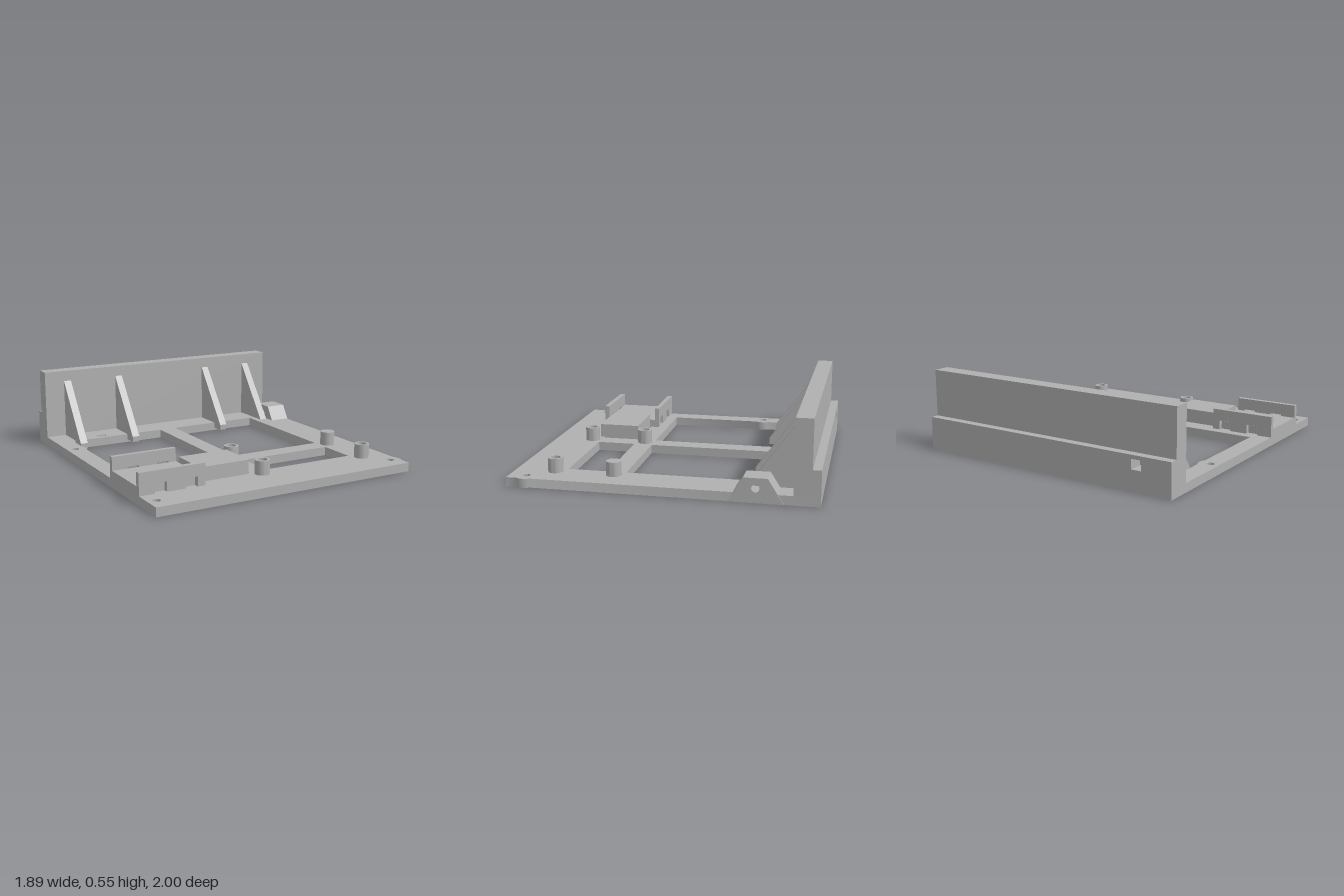
import * as THREE from 'three';
import { toCreasedNormals } from 'three/addons/utils/BufferGeometryUtils.js';

const T = 0.06; // base plate thickness
const X0 = -0.945, X1 = 0.935;

export function createModel() {
  const group = new THREE.Group();
  const grey = new THREE.MeshStandardMaterial({ color: 0xb0b0b0 });
  grey.name = 'grey plastic';

  const add = (name, geometry) => {
    const mesh = new THREE.Mesh(geometry, grey);
    mesh.name = name;
    group.add(mesh);
    return mesh;
  };
  const box = (name, x0, x1, y0, y1, z0, z1) =>
    add(name, new THREE.BoxGeometry(x1 - x0, y1 - y0, z1 - z0)
      .translate((x0 + x1) / 2, (y0 + y1) / 2, (z0 + z1) / 2));
  const extrude = (shape, depth) => toCreasedNormals(
    new THREE.ExtrudeGeometry(shape, { depth, bevelEnabled: false, curveSegments: 16 }), 0.6);
  // Side profile given as [z, y] points, swept from x0 to x1
  const sideShape = (pts) => new THREE.Shape(pts.map(([z, y]) => new THREE.Vector2(-z, y)));
  const sweepX = (name, shape, x0, x1) =>
    add(name, extrude(shape, x1 - x0).rotateY(Math.PI / 2).translate(x0, 0, 0));
  const circle = (x, y, r) => new THREE.Path().absarc(x, y, r, 0, Math.PI * 2, true);

  // Base plate outline in (x, -z), with a rounded bulge beside the front right screw hole
  const R = 0.078;
  const plate = new THREE.Shape();
  plate.moveTo(X0, -1);
  plate.lineTo(X1, -1);
  const a = Math.acos((X1 - 0.87) / R);
  plate.absarc(0.87, -0.885, R, -a, a, false);
  plate.lineTo(X1, 1);
  plate.lineTo(X0, 1);
  plate.closePath();

  // Rectangular openings: x0, x1, z0, z1
  const openings = [
    [0.01, 0.685, -0.63, 0.272],
    [0.01, 0.685, 0.4, 0.665],
    [-0.49, -0.115, 0.4, 0.665],
    [-0.615, -0.54, -0.705, -0.67],
  ];
  for (const [x0, x1, z0, z1] of openings) {
    plate.holes.push(new THREE.Path([
      new THREE.Vector2(x0, -z0), new THREE.Vector2(x1, -z0),
      new THREE.Vector2(x1, -z1), new THREE.Vector2(x0, -z1),
    ]));
  }
  // Rear left opening, narrowed by a screw bulge
  const b = Math.acos((-0.82 + 0.885) / 0.08);
  const rearLeft = new THREE.Path();
  rearLeft.moveTo(-0.115, 0.63);
  rearLeft.lineTo(-0.115, -0.272);
  rearLeft.lineTo(-0.82, -0.272);
  rearLeft.absarc(-0.885, 0.42, 0.08, -b, b, false);
  rearLeft.lineTo(-0.82, 0.63);
  rearLeft.closePath();
  plate.holes.push(rearLeft);
  for (const [x, z] of [[-0.885, -0.42], [-0.885, 0.885], [0.87, 0.885]])
    plate.holes.push(circle(x, -z, 0.026));
  add('basePlate', extrude(plate, T).rotateX(-Math.PI / 2));

  // Stepped back wall, with a small recess in its rear face
  const front = [[-0.835, T], [-0.835, 0.545], [-0.945, 0.545], [-0.945, 0.23], [-1, 0.23]];
  const recess = [[-1, 0.205], [-0.9, 0.205], [-0.9, 0.14], [-1, 0.14]];
  const solidWall = sideShape([...front, [-1, T]]);
  sweepX('backWallLeft', solidWall, X0, -0.74);
  sweepX('backWallRecess', sideShape([...front, ...recess, [-1, T]]), -0.74, -0.67);
  sweepX('backWallMain', solidWall, -0.67, X1);

  // Triangular ribs bracing the wall
  const rib = sideShape([[-0.835, T], [-0.835, 0.47], [-0.535, T], [-0.535, 0.02], [-0.63, 0.02], [-0.63, T]]);
  for (const x of [-0.773, -0.363, 0.386, 0.757]) sweepX('rib', rib, x - 0.027, x + 0.027);

  // Pivot lug with a cross hole
  const lug = sideShape([[-0.43, 0.001], [-0.53, 0.16], [-0.68, 0.16], [-0.78, 0.001]]);
  lug.holes.push(circle(0.605, 0.095, 0.025));
  sweepX('pivotLug', lug, 0.795, 0.942);

  // Mounting posts: three hollow, one solid
  const post = (name, x, z, hollow) => {
    const pts = [[0.05, T], [0.05, 0.155]];
    if (hollow) pts.push([0.033, 0.155], [0.033, T + 0.003], [0, T + 0.003]);
    else pts.push([0, 0.155]);
    const lathe = new THREE.LatheGeometry(pts.map((p) => new THREE.Vector2(...p)), 32);
    add(name, toCreasedNormals(lathe, 0.6).translate(x, 0, z));
  };
  post('hollowPost', -0.055, 0.337, true);
  post('hollowPost', -0.055, 0.73, true);
  post('hollowPost', 0.747, 0.73, true);
  post('solidPost', 0.747, 0.337, false);

  // Connector cradle: raised floor, inner block and two notched side walls
  box('cradleFloor', X0, -0.495, T, 0.115, 0.372, 0.735);
  box('connectorBlock', -0.495, -0.137, T, 0.155, 0.412, 0.695);
  box('connectorBlockBase', -0.49, -0.137, 0, T, 0.412, 0.665);
  const outline = [[X0, T]];
  for (const x of [-0.84, -0.63])
    outline.push([x, T], [x, 0.125], [x + 0.082, 0.125], [x + 0.082, T]);
  outline.push([-0.495, T], [-0.495, 0.205], [X0, 0.205]);
  const notched = new THREE.Shape(outline.map((p) => new THREE.Vector2(...p)));
  for (const [z0, z1] of [[0.34, 0.372], [0.735, 0.77]])
    add('cradleWall', extrude(notched, z1 - z0).translate(0, 0, z0));

  return group;
}
